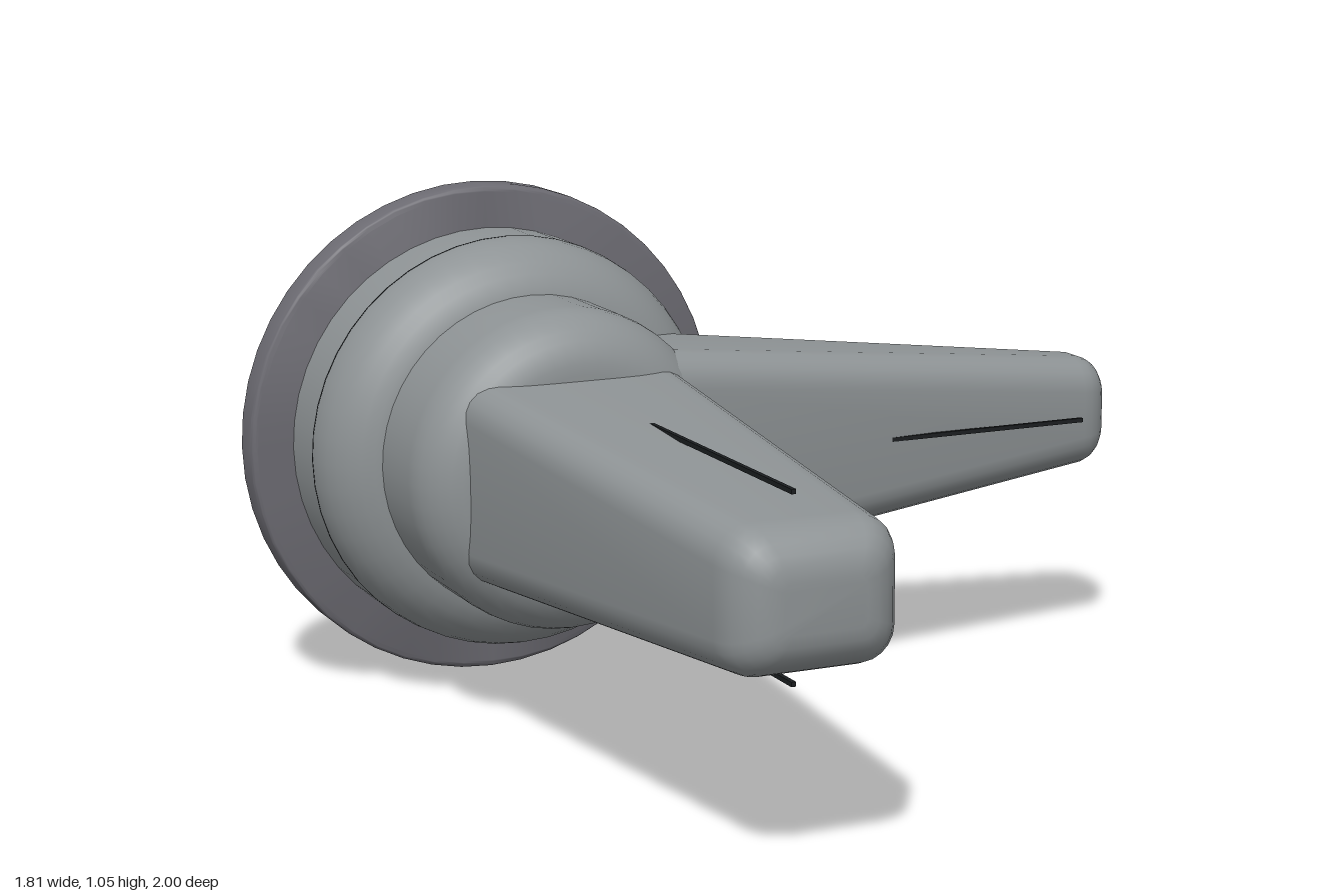
import * as THREE from 'three';
import { toCreasedNormals } from 'three/addons/utils/BufferGeometryUtils.js';

const AX = -0.385, AY = 0.527;
const mat = (name, color) => {
  const m = new THREE.MeshStandardMaterial({ color });
  m.name = name;
  return m;
};

// Points of a rounded rectangle, anticlockwise seen from +z
function roundedRect(hw, hh, r, z) {
  const pts = [], n = 5;
  [[1, 1], [-1, 1], [-1, -1], [1, -1]].forEach(([sx, sy], q) => {
    for (let i = 0; i <= n; i++) {
      const a = (q + i / n) * Math.PI / 2;
      pts.push([sx * (hw - r) + r * Math.cos(a), sy * (hh - r) + r * Math.sin(a), z]);
    }
  });
  return pts;
}

// Tapered arm along +z with a rounded tip
function armGeometry(z0, z1, w0, h0, w1, h1, round) {
  const rings = [roundedRect(w0, h0, 0.07, z0)];
  const k = (z1 - round - z0) / (z1 - z0);
  const w = w0 + (w1 - w0) * k, h = h0 + (h1 - h0) * k;
  for (let i = 0; i <= 6; i++) {
    const a = i / 6 * Math.PI / 2, inset = round * 0.9 * (1 - Math.cos(a));
    rings.push(roundedRect(w - inset, h - inset, Math.max(0.07 - inset * 0.6, 0.01), z1 - round + round * Math.sin(a)));
  }
  const n = rings[0].length, pos = rings.flat(2), idx = [];
  for (let j = 0; j < rings.length - 1; j++) {
    for (let i = 0; i < n; i++) {
      const a = j * n + i, b = j * n + (i + 1) % n;
      idx.push(a, b, b + n, a, b + n, a + n);
    }
  }
  const last = (rings.length - 1) * n;
  for (let i = 1; i < n - 1; i++) {
    idx.push(last, last + i, last + i + 1);
    idx.push(0, i + 1, i);
  }
  const g = new THREE.BufferGeometry();
  g.setAttribute('position', new THREE.Float32BufferAttribute(pos, 3));
  g.setIndex(idx);
  return toCreasedNormals(g, 0.6);
}

// Drum around the z axis with one rounded rim at zEnd
function drumGeometry(r, zStart, zEnd, round) {
  const s = Math.sign(zEnd - zStart);
  const pts = [new THREE.Vector2(0, zStart), new THREE.Vector2(r, zStart)];
  for (let i = 0; i <= 8; i++) {
    const a = i / 8 * Math.PI / 2;
    pts.push(new THREE.Vector2(r - round + round * Math.cos(a), zEnd - s * round * (1 - Math.sin(a))));
  }
  pts.push(new THREE.Vector2(0, zEnd));
  if (s < 0) pts.reverse();
  const g = new THREE.LatheGeometry(pts, 48);
  g.rotateX(Math.PI / 2);
  return toCreasedNormals(g, 0.6);
}

export function createModel() {
  const model = new THREE.Group();
  model.name = 'twoArmFixture';
  const body = mat('bodyGrey', 0x8e9395);
  const plate = mat('flangeGrey', 0x6b6a71);
  const dark = mat('seamBlack', 0x1b1e20);
  const add = (name, geo, m, x = AX, y = AY, z = 0) => {
    const mesh = new THREE.Mesh(geo, m);
    mesh.name = name;
    mesh.position.set(x, y, z);
    model.add(mesh);
    return mesh;
  };

  // Stepped round housing
  add('frontHub', drumGeometry(0.332, -0.4, -0.08, 0.12), body);
  add('middleHousing', drumGeometry(0.434, -0.62, -0.345, 0.14), body);
  add('rearCap', drumGeometry(0.366, -0.66, -1, 0.15), body);

  // Flange with a softened front rim
  add('flange', drumGeometry(0.525, -0.68, -0.615, 0.015), plate);

  // Seam lines around the housing
  const seam = (name, r, z, h) => {
    const g = new THREE.CylinderGeometry(r, r, h, 48);
    g.rotateX(Math.PI / 2);
    add(name, g, dark, AX, AY, z);
  };
  seam('rearSeam', 0.369, -0.79, 0.01);
  seam('middleSeam', 0.4345, -0.49, 0.004);

  // Arms
  add('frontArm', armGeometry(-0.25, 1, 0.255, 0.212, 0.163, 0.131, 0.1), body);
  const side = add('sideArm', armGeometry(0.14, 1.29, 0.187, 0.24, 0.09, 0.112, 0.07), body, AX, AY, -0.287);
  side.rotation.y = Math.PI / 2;

  // Thin dark strips along the arms
  for (const s of [-1, 1]) {
    add('frontArmStrip', new THREE.BoxGeometry(0.009, 0.009, 0.8), dark, AX, AY + s * 0.175, 0.47);
    add('sideArmStrip', new THREE.BoxGeometry(0.7, 0.009, 0.009), dark, 0.455, AY, -0.292 + s * 0.138);
  }

  // Gussets on both sides of the flange
  const gusset = (name, pts) => {
    const shape = new THREE.Shape(pts.map(([x, z]) => new THREE.Vector2(x, -z)));
    const g = new THREE.ExtrudeGeometry(shape, { depth: 0.28, bevelEnabled: false });
    g.rotateX(-Math.PI / 2);
    add(name, g, body, 0, AY - 0.14, 0);
  };
  gusset('rearGusset', [[-0.1, -0.66], [0.09, -0.66], [0.09, -0.685], [-0.03, -0.75], [-0.1, -0.75]]);
  gusset('frontGusset', [[-0.02, -0.52], [0.04, -0.52], [0.095, -0.6], [0.095, -0.63], [-0.02, -0.63]]);

  // Small screws on the gussets
  for (const s of [-1, 1]) {
    const rear = add('rearScrew', new THREE.CylinderGeometry(0.009, 0.009, 0.008, 10), dark, 0.02, AY + s * 0.065, -0.724);
    rear.rotation.set(Math.PI / 2, 0, -0.5, 'YXZ');
    rear.lookAt(0.02 + 0.476, AY + s * 0.065, -0.724 - 0.88);
    rear.rotateX(Math.PI / 2);
  }
  return model;
}
